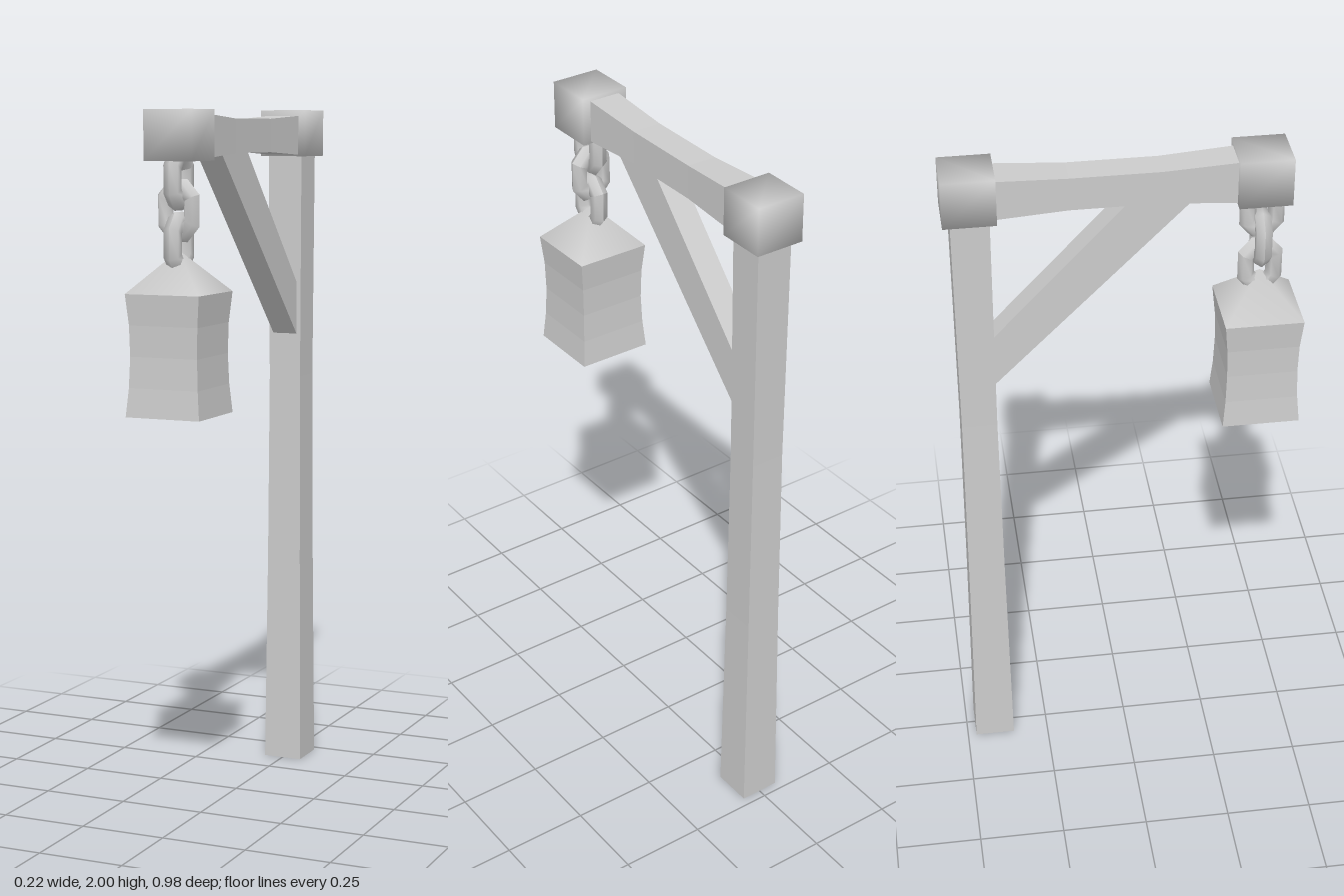
import * as THREE from 'three';
import { mergeVertices } from 'three/addons/utils/BufferGeometryUtils.js';

const flat = new THREE.MeshStandardMaterial({ color: 0xcccccc, flatShading: true });
const smooth = new THREE.MeshStandardMaterial({ color: 0xcccccc });

function add(parent, name, geometry, material, x = 0, y = 0, z = 0) {
  const mesh = new THREE.Mesh(geometry, material);
  mesh.name = name;
  mesh.position.set(x, y, z);
  parent.add(mesh);
  return mesh;
}

// Rectangular bar lofted along y; each ring is [y, half width x, half depth z]
function bar(rings) {
  const n = rings.length - 1;
  const g = new THREE.BoxGeometry(2, 1, 2, 1, n, 1);
  const p = g.attributes.position;
  for (let i = 0; i < p.count; i++) {
    const [y, hx, hz] = rings[Math.round((p.getY(i) + 0.5) * n)];
    p.setXYZ(i, p.getX(i) * hx, y, p.getZ(i) * hz);
  }
  g.computeVertexNormals();
  return g;
}

// Share corners so that shading runs softly across the edges
function soften(g) {
  g.deleteAttribute('normal');
  g.deleteAttribute('uv');
  const merged = mergeVertices(g, 1e-4);
  merged.computeVertexNormals();
  return merged;
}

// Elongated chain link standing in the xy plane
function linkGeometry() {
  const g = new THREE.TorusGeometry(0.042, 0.025, 6, 8);
  g.rotateZ(Math.PI / 8);
  g.scale(1, 1.15, 1);
  const p = g.attributes.position;
  for (let i = 0; i < p.count; i++) p.setY(i, p.getY(i) + Math.sign(p.getY(i)) * 0.014);
  g.computeVertexNormals();
  return g;
}

export function createModel() {
  const model = new THREE.Group();
  model.name = 'hangingLanternPost';

  // Upright post, slightly waisted
  add(model, 'post', bar([
    [0, 0.059, 0.059], [0.65, 0.053, 0.053], [1.2, 0.05, 0.05], [1.88, 0.053, 0.053],
  ]), flat, 0, 0, -0.415);

  // Horizontal beam, thinner in the middle
  const beam = add(model, 'beam', bar([
    [-0.36, 0.05, 0.058], [-0.15, 0.043, 0.048], [0.1, 0.043, 0.048], [0.32, 0.047, 0.062],
  ]), flat, 0, 1.926, 0);
  beam.rotation.x = Math.PI / 2;

  // End blocks
  add(model, 'postCap', soften(new THREE.BoxGeometry(0.143, 0.136, 0.145)), smooth, 0, 1.932, -0.4165);
  add(model, 'beamCap', soften(new THREE.BoxGeometry(0.143, 0.138, 0.146)), smooth, 0, 1.929, 0.376);

  // Diagonal brace, outlined in (z, y) and extruded across x
  const outline = new THREE.Shape([
    [0.2, 1.895], [0.018, 1.895], [-0.38, 1.47], [-0.38, 1.315],
  ].map(([z, y]) => new THREE.Vector2(-z, y)));
  const braceGeometry = new THREE.ExtrudeGeometry(outline, { depth: 0.076, bevelEnabled: false });
  braceGeometry.translate(0, 0, -0.038);
  braceGeometry.rotateY(Math.PI / 2);
  add(model, 'brace', braceGeometry, flat);

  // Chain of three links, alternately turned
  const chain = new THREE.Group();
  chain.name = 'chain';
  chain.position.z = 0.38;
  model.add(chain);
  const link = linkGeometry();
  [1.812, 1.727, 1.638].forEach((y, i) => {
    add(chain, 'chainLink', link, smooth, 0, y, 0).rotation.y = i % 2 ? 0 : Math.PI / 2;
  });

  // Hanging lantern: waisted body and pyramid roof
  add(model, 'lanternBody', bar([
    [1.17, 0.11, 0.11], [1.25, 0.103, 0.103], [1.335, 0.1, 0.1], [1.42, 0.102, 0.102], [1.505, 0.11, 0.11],
  ]), flat, 0, 0, 0.38);
  const roof = new THREE.ConeGeometry(0.11 * Math.SQRT2, 0.115, 4, 1, true);
  roof.rotateY(Math.PI / 4);
  add(model, 'lanternRoof', soften(roof), smooth, 0, 1.5625, 0.38);

  return model;
}
